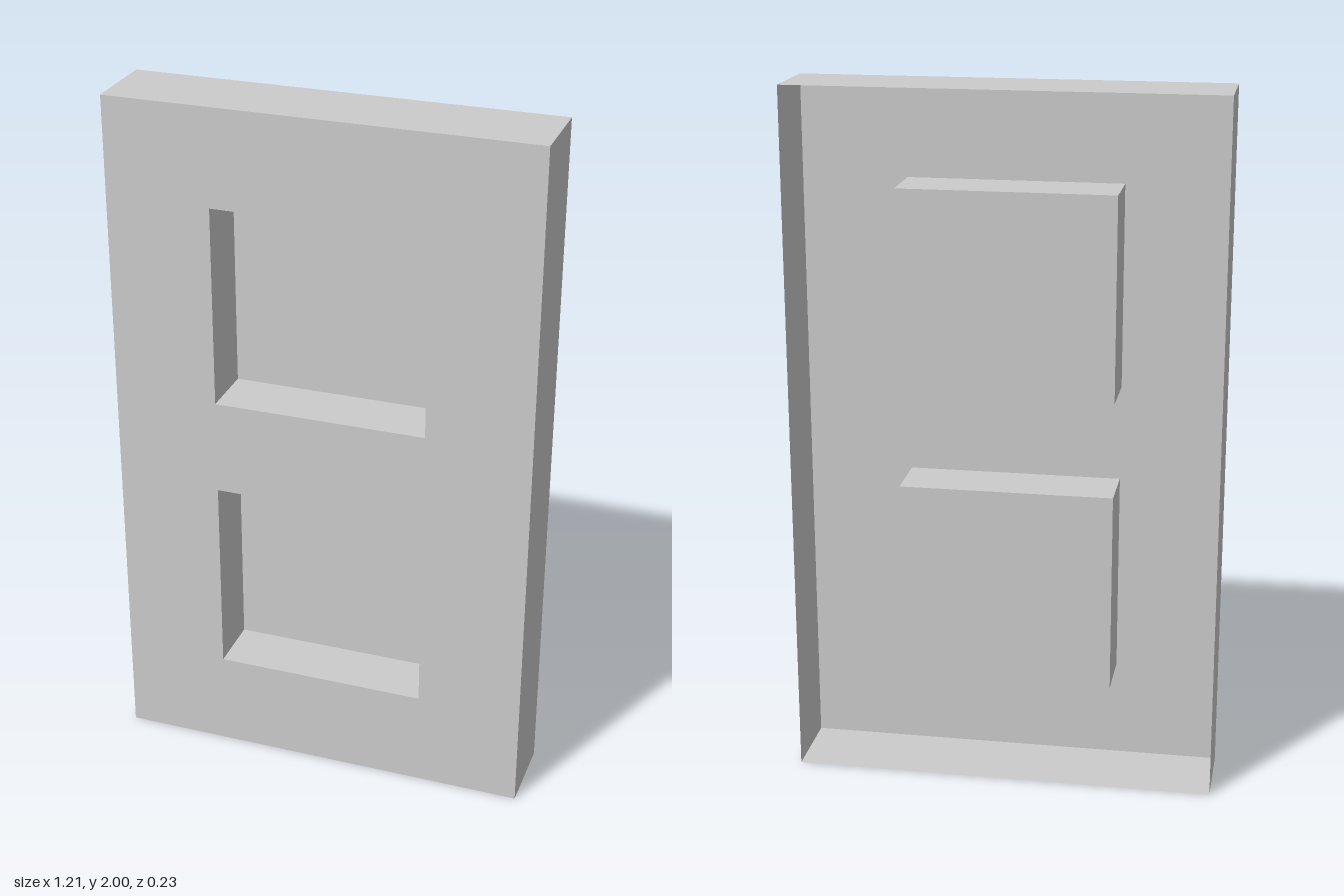
import * as THREE from 'three';

const material = new THREE.MeshStandardMaterial({ color: 0xcccccc, flatShading: true, side: THREE.DoubleSide });

const WIDTH = 1.21, HEIGHT = 2, DEPTH = 0.23, FRONT = DEPTH / 2;
const POCKET = { width: 0.61, height: 0.58, depth: 0.17, centres: [0.575, 1.43] };

function addMesh(parent, name, geometry) {
  const mesh = new THREE.Mesh(geometry, material);
  mesh.name = name;
  parent.add(mesh);
  return mesh;
}

// Corners of a rectangle centred on x = 0
function corners(w, h, cy) {
  return [[-1, -1], [1, -1], [1, 1], [-1, 1]].map(([x, y]) => new THREE.Vector2(x * w / 2, cy + y * h / 2));
}

// Four thin walls running back from the front plane, open at both ends
function wallRing(w, h, d, cy) {
  return new THREE.CylinderGeometry(Math.SQRT1_2, Math.SQRT1_2, 1, 4, 1, true)
    .rotateY(Math.PI / 4)
    .rotateX(Math.PI / 2)
    .scale(w, h, d)
    .translate(0, cy, FRONT - d / 2);
}

export function createModel() {
  const panel = new THREE.Group();
  panel.name = 'recessedPanel';

  // Front sheet with two rectangular openings
  const face = new THREE.Shape(corners(WIDTH, HEIGHT, HEIGHT / 2));
  for (const cy of POCKET.centres) face.holes.push(new THREE.Path(corners(POCKET.width, POCKET.height, cy)));
  addMesh(panel, 'frontFace', new THREE.ShapeGeometry(face)).position.z = FRONT;

  // Outer rim, open at the back
  addMesh(panel, 'outerRim', wallRing(WIDTH, HEIGHT, DEPTH, HEIGHT / 2));

  // Pockets sunk behind the openings
  POCKET.centres.forEach((cy, i) => {
    const pocket = new THREE.Group();
    pocket.name = i ? 'upperPocket' : 'lowerPocket';
    addMesh(pocket, 'pocketWalls', wallRing(POCKET.width, POCKET.height, POCKET.depth, cy));
    addMesh(pocket, 'pocketFloor', new THREE.PlaneGeometry(POCKET.width, POCKET.height))
      .position.set(0, cy, FRONT - POCKET.depth);
    panel.add(pocket);
  });

  return panel;
}
